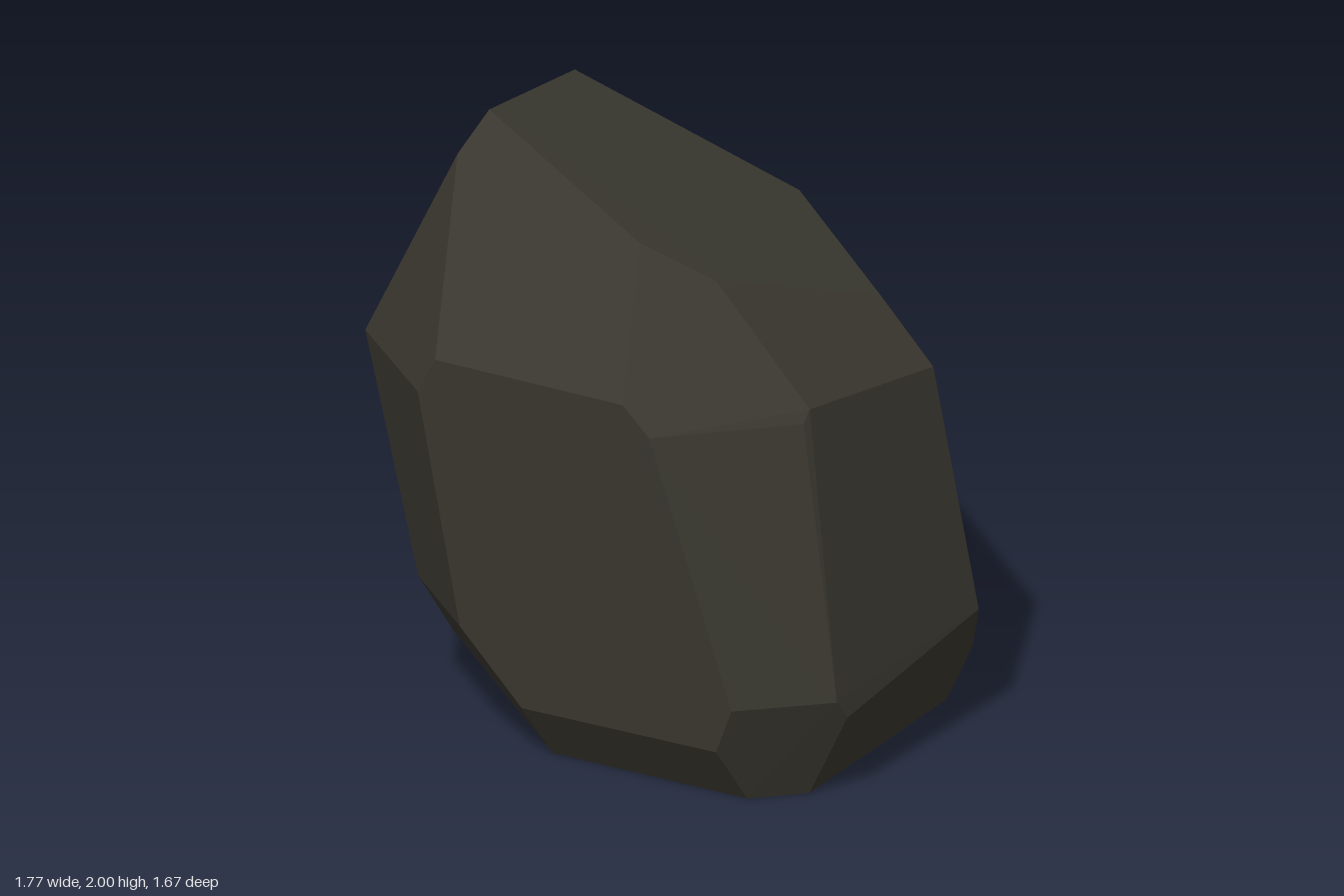
import * as THREE from 'three';
import { ConvexGeometry } from 'three/addons/geometries/ConvexGeometry.js';

// Corner rings of the faceted boulder, each corner as [x, y, z]
const base = [
  [-0.035, 0, 0.535], [0.635, 0, 0.39], [0.745, 0, 0.23], [0.57, 0, -0.575],
  [0.41, 0, -0.67], [-0.11, 0, -0.56], [-0.47, 0, -0.07], [-0.385, 0, 0.33],
];
const lowerRing = [
  [-0.04, 0.19, 0.669], [0.63, 0.195, 0.525], [0.695, 0.35, 0.527], [0.885, 0.35, 0.26],
  [0.885, 0.285, 0.212], [0.79, 0.395, -0.48], [0.67, 0.205, -0.585], [0.32, 0.205, -0.785],
  [0.2, 0.325, -0.835], [-0.23, 0.26, -0.688], [-0.38, 0.41, -0.63], [-0.70, 0.39, -0.15],
  [-0.625, 0.18, 0.02], [-0.565, 0.2, 0.4], [-0.595, 0.42, 0.53], [-0.235, 0.425, 0.735],
];
const upperRing = [
  [-0.32, 1.21, 0.832], [-0.25, 1.335, 0.83], [0.395, 1.33, 0.69], [0.48, 1.235, 0.662],
  [0.75, 1.235, 0.263], [0.75, 1.275, 0.235], [0.69, 1.2, -0.385], [0.02, 1.22, -0.757],
  [-0.57, 1.33, -0.55], [-0.71, 1.54, -0.37], [-0.785, 1.53, -0.27], [-0.72, 1.665, -0.272],
  [-0.885, 1.245, -0.06], [-0.77, 1.2, 0.578],
];
const crown = [
  [-0.385, 2.0, 0.44], [-0.43, 1.87, 0.533], [0.25, 1.75, 0.455], [0.435, 1.635, 0.315],
  [0.51, 1.395, -0.345], [0.01, 1.54, -0.523], [-0.57, 1.89, -0.145],
];

export function createModel() {
  const group = new THREE.Group();
  group.name = 'boulder';

  const stone = new THREE.MeshStandardMaterial({ color: 0x3a3830 });
  stone.name = 'dark stone';

  // Flat facets stretched over all the corners
  const corners = [...base, ...lowerRing, ...upperRing, ...crown]
    .map((p) => new THREE.Vector3(...p));
  const rock = new THREE.Mesh(new ConvexGeometry(corners), stone);
  rock.name = 'rock';
  group.add(rock);
  return group;
}
